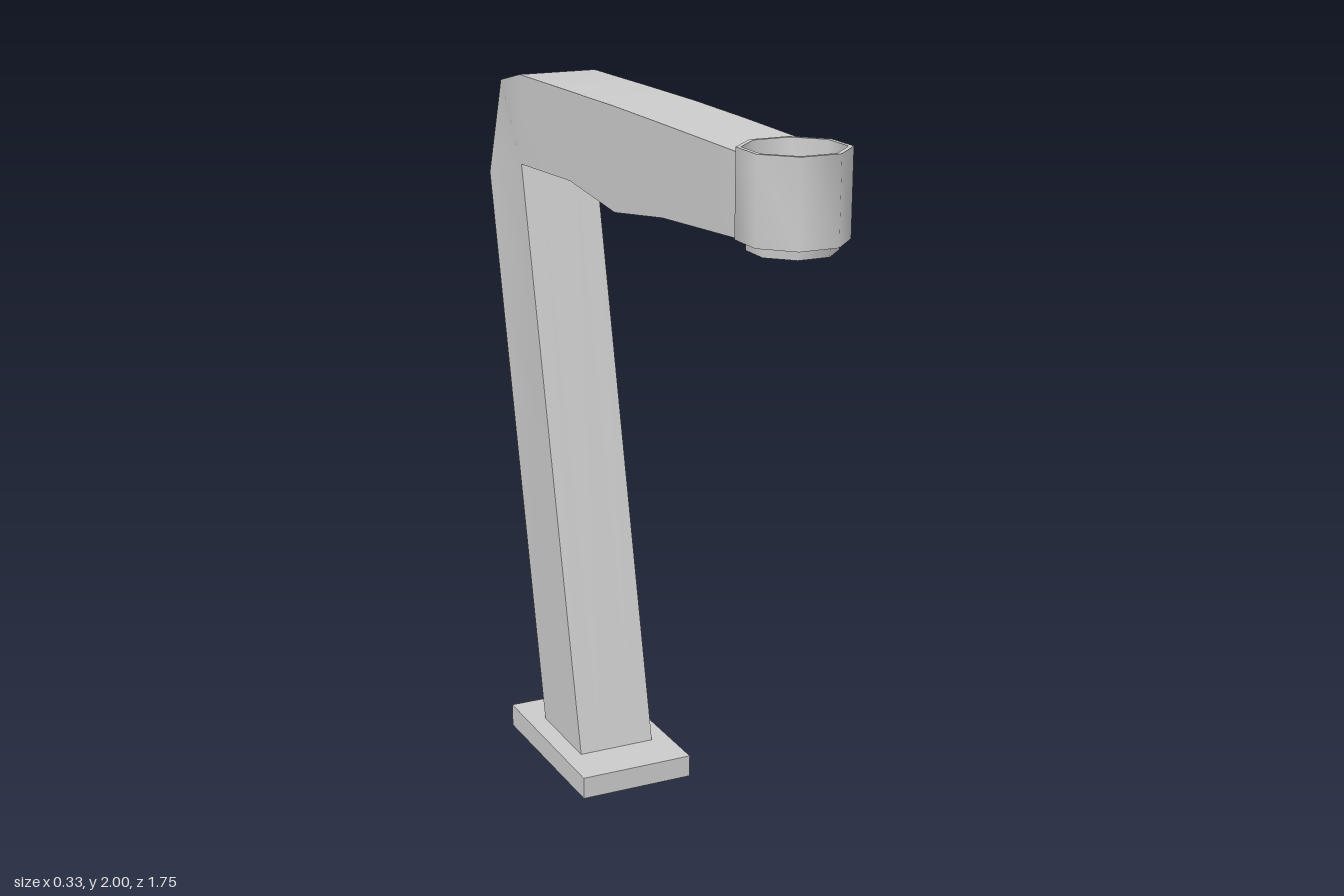
import * as THREE from 'three';
import { toCreasedNormals } from 'three/addons/utils/BufferGeometryUtils.js';

const material = (flatShading) =>
  new THREE.MeshStandardMaterial({ color: 0xcccccc, flatShading, side: THREE.DoubleSide });

// Skins a series of closed loops (equal point counts) and leaves both ends open.
function loft(loops) {
  const positions = [];
  const triangle = (...points) => {
    if (new THREE.Triangle(...points).getArea() > 1e-7) points.forEach((p) => positions.push(...p.toArray()));
  };
  for (let i = 0; i < loops.length - 1; i++) {
    const n = loops[i].length;
    for (let j = 0; j < n; j++) {
      const k = (j + 1) % n;
      const a = loops[i][j], b = loops[i][k], c = loops[i + 1][k], d = loops[i + 1][j];
      triangle(a, d, b);
      triangle(b, d, c);
    }
  }
  const geometry = new THREE.BufferGeometry();
  geometry.setAttribute('position', new THREE.Float32BufferAttribute(positions, 3));
  geometry.computeVertexNormals();
  return geometry;
}

// Four-cornered loop: back edge then front edge.
const rectangle = (w, zBack, yBack, zFront, yFront) => [
  new THREE.Vector3(-w, yBack, zBack), new THREE.Vector3(w, yBack, zBack),
  new THREE.Vector3(w, yFront, zFront), new THREE.Vector3(-w, yFront, zFront),
];

// Eight-point section of the arm; notch pulls its middle back around the ring.
function armSection([zOuter, yOuter, wOuter, zInner, yInner, wInner, notch = 0]) {
  const columns = [-1, -0.47, 0.47, 1];
  const edge = (z, y, w) =>
    columns.map((c) => new THREE.Vector3(c * w, y, z - (Math.abs(c) < 1 ? notch : 0)));
  return [...edge(zOuter, yOuter, wOuter), ...edge(zInner, yInner, wInner).reverse()];
}

export function createModel() {
  const model = new THREE.Group();
  const add = (name, geometry, flat) => {
    const mesh = new THREE.Mesh(geometry, material(flat));
    mesh.name = name;
    model.add(mesh);
    return mesh;
  };

  // Foot plate: open underneath, with an opening where the leg meets it
  add('footPlate', loft([
    rectangle(0.167, -0.65, 0, -0.095, 0.012),
    rectangle(0.167, -0.65, 0.068, -0.095, 0.076),
    rectangle(0.113, -0.515, 0.07, -0.24, 0.074),
  ]), true);

  // Leaning leg, rounded elbow and forward arm in one hollow bent beam
  const sections = [
    [-0.515, 0.07, 0.113, -0.24, 0.074, 0.113],
    [-0.873, 1.67, 0.113, -0.62, 1.735, 0.113],
    [-0.863, 1.88, 0.085, -0.62, 1.735, 0.113],
    [-0.775, 1.95, 0.11, -0.62, 1.735, 0.113],
    [-0.62, 1.985, 0.113, -0.62, 1.735, 0.113],
    [-0.27, 1.988, 0.113, -0.27, 1.75, 0.113],
    [0.02, 1.99, 0.112, 0.02, 1.72, 0.112],
    [0.3, 1.988, 0.11, 0.3, 1.76, 0.11],
    [0.69, 1.983, 0.105, 0.69, 1.787, 0.105, 0.052],
  ];
  add('legAndArm', toCreasedNormals(loft(sections.map(armSection)), 0.5), false);

  // Eight-sided open ring with a narrower lip below
  const profile = [
    [0.106, 1.765], [0.106, 1.79], [0.132, 1.79], [0.132, 2], [0.12, 2], [0.106, 1.765],
  ].map(([r, y]) => new THREE.Vector2(r, y));
  const ring = add('ring', toCreasedNormals(new THREE.LatheGeometry(profile, 8, Math.PI / 8), 0.85), false);
  ring.position.z = 0.757;

  return model;
}
